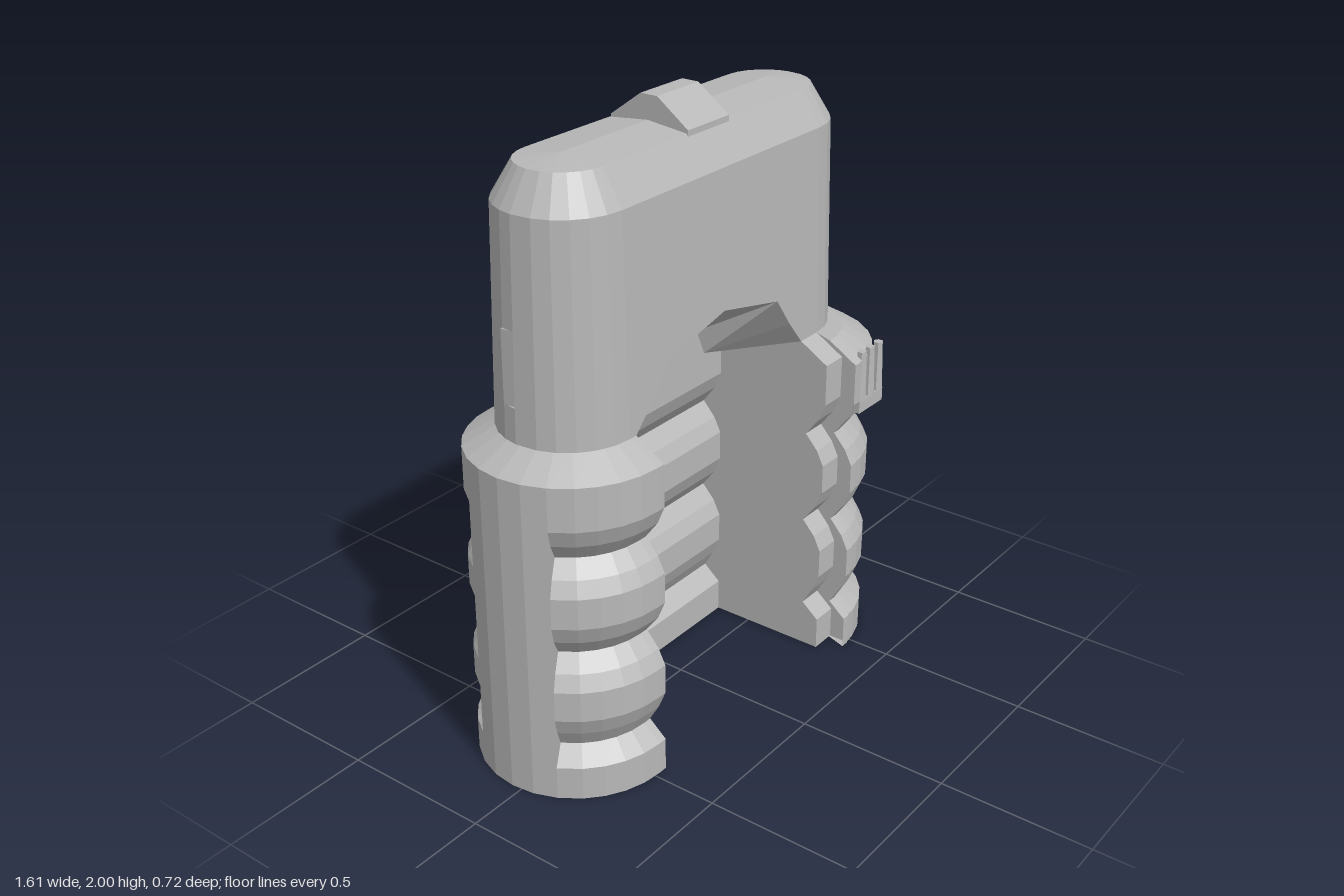
import * as THREE from 'three';

const plastic = new THREE.MeshStandardMaterial({ color: 0xb8b8b8, side: THREE.DoubleSide });
plastic.name = 'grey plastic';

// Flat-shaded geometry from a list of [x, y, z] triangle corners
function facets(points) {
  const g = new THREE.BufferGeometry();
  g.setAttribute('position', new THREE.Float32BufferAttribute(points.flat(), 3));
  g.computeVertexNormals();
  return g;
}

// Skin closed rings of equal length; skip(row, column) leaves openings
function loft(rings, skip = () => false) {
  const out = [];
  const n = rings[0].length;
  for (let r = 0; r < rings.length - 1; r++) {
    for (let i = 0; i < n; i++) {
      if (skip(r, i)) continue;
      const j = (i + 1) % n;
      const [a, b, c, d] = [rings[r][i], rings[r][j], rings[r + 1][j], rings[r + 1][i]];
      out.push(a, b, c, a, c, d);
    }
  }
  return facets(out);
}

// Flat lid over a ring, facing up or down
function lid(ring, up) {
  const s = up ? -1 : 1;
  const shape = new THREE.Shape(ring.map(([x, , z]) => new THREE.Vector2(x, s * z)));
  return new THREE.ShapeGeometry(shape).rotateX(s * Math.PI / 2).translate(0, ring[0][1], 0);
}

// Box seen from the inside
function pocket(w, h, d) {
  const g = new THREE.BoxGeometry(w, h, d).toNonIndexed();
  const p = g.attributes.position;
  const pts = [];
  for (let i = 0; i < p.count; i += 3) {
    for (const k of [i, i + 2, i + 1]) pts.push([p.getX(k), p.getY(k), p.getZ(k)]);
  }
  return facets(pts);
}

export function createModel() {
  const model = new THREE.Group();
  const add = (name, geometry, x = 0, y = 0, z = 0) => {
    const m = new THREE.Mesh(geometry, plastic);
    m.name = name;
    m.position.set(x, y, z);
    model.add(m);
    return m;
  };
  const rad = THREE.MathUtils.degToRad;

  // Grip outline: x, z, normal x, normal z, grooved, shoulder inset
  const outline = [
    [0.39, -0.13, 0, 1, true, false], [0.39, 0.285, 0, 1, true, true],
    [0.48, 0.285, 0, 1, true, true], [0.48, 0.355, 0, 1, true, true],
  ];
  const lobe = (cx, cz, r, from) => {
    // grooves stop in a sharp step before the rounded end
    const bands = [[[0, 12, 24, 36, 48, 62], true], [[62, 76, 90, 104, 118], false], [[118, 132, 144, 156, 168, 180], true]];
    for (const [angles, grooved] of bands) {
      for (const a of angles) {
        const c = Math.cos(rad(from - a)), s = Math.sin(rad(from - a));
        outline.push([cx + r * c, cz + r * s, c, s, grooved, true]);
      }
    }
  };
  lobe(0.45, 0, 0.355, 90);
  lobe(-0.48, -0.035, 0.32, -90);
  outline.push([-0.45, 0.285, 0, 1, true, true], [-0.45, -0.13, 0, 1, true, false]);

  // Ribbed wall: height, groove depth, shoulder inset
  const rows = [[0, 0, 0], [0.11, 0, 0], [0.16, 0.06, 0]];
  for (const y of [0.16, 0.48, 0.8]) {
    if (y > 0.16) rows.push([y, 0.07, 0]);
    rows.push([y + 0.06, 0.025, 0], [y + 0.12, 0, 0]);
    if (y < 0.8) rows.push([y + 0.22, 0, 0], [y + 0.27, 0.025, 0]);
  }
  rows.push([1.06, 0, 0], [1.12, 0, 0.1]);
  const gripRings = rows.map(([y, groove, inset]) => outline.map(([x, z, nx, nz, g, s]) => {
    const d = (g ? groove : 0) + (s ? inset : 0);
    return [x - nx * d, y, z - nz * d];
  }));
  add('gripWall', loft(gripRings));
  add('gripBase', lid(gripRings[0], false));
  add('gripShoulder', lid(gripRings.at(-1), true));

  // Tapered tower with openings for its slots and front arch
  const right = [90, 75, 60, 45, 30, 15, -4, -17, -30, -45, -60, -75, -90];
  const n = right.length;
  const around = [...right, ...right.map(a => -180 - a).reverse()];
  const radius = y => 0.22 - (y - 1.12) / 0.68 * 0.015;
  const towerRows = [1.12, 1.23, 1.35, 1.46, 1.8].map(y => [y, radius(y)]);
  towerRows.push([1.91, 0.14], [1.925, 0]);
  const towerRings = towerRows.map(([y, r]) => around.map((a, i) =>
    [(i < n ? 0.48 : -0.48) + r * Math.cos(rad(a)), y, -0.035 + r * Math.sin(rad(a))]));
  add('tower', loft(towerRings, (r, i) =>
    (i === 2 * n - 1 && r < 4) ||
    (i === n - 1 && r === 2) ||
    ((i === 6 || i === 2 * n - 8) && (r === 1 || r === 2))));
  add('backSlot', pocket(0.96, 0.11, 0.04), 0, 1.405, -0.228);
  for (const side of [-1, 1]) add('endSlot', pocket(0.04, 0.23, 0.047), side * 0.67, 1.345, -0.074);

  // Front panel with the arch cut from its lower edge
  const arch = [[-0.45, 1.12], [-0.37, 1.2], [-0.29, 1.3], [-0.02, 1.36], [0.255, 1.3], [0.325, 1.2], [0.39, 1.12]];
  const frontZ = y => radius(y) - 0.035;
  const panelShape = new THREE.Shape(
    [[-0.48, 1.12], ...arch, [0.48, 1.12], [0.48, 1.8], [-0.48, 1.8]].map(p => new THREE.Vector2(...p)));
  const panel = new THREE.ShapeGeometry(panelShape);
  const pp = panel.attributes.position;
  for (let i = 0; i < pp.count; i++) pp.setZ(i, frontZ(pp.getY(i)));
  panel.computeVertexNormals();
  add('towerFront', panel);

  // Sloping ceiling behind the arch, with a hanging corner on each side
  const [f0, f1, f2, f3, f4, f5, f6] = arch.map(([x, y]) => [x, y, frontZ(y)]);
  const back = (x, y = 1.12, z = -0.13) => [x, y, z];
  const bl = back(-0.29), br = back(0.255), bm = back(-0.02);
  const tl = back(-0.29, 1.05, -0.1), tr = back(0.255, 1.05, -0.1);
  const wl = back(-0.45), wr = back(0.39);
  add('archCeiling', facets([
    f2, bl, bm, f2, bm, f3, f3, bm, br, f3, br, f4,
    f0, wl, tl, f0, tl, f1, f1, tl, f2, f2, tl, bl,
    f6, tr, wr, f6, f5, tr, f5, f4, tr, f4, br, tr,
  ]));

  // Wedge on top of the tower
  const wedge = new THREE.Shape([[-0.11, 1.9], [-0.11, 1.92], [0, 2], [0.06, 2], [0.17, 1.92], [0.17, 1.9]]
    .map(p => new THREE.Vector2(...p)));
  const wedgeGeo = new THREE.ExtrudeGeometry(wedge, { depth: 0.195, bevelEnabled: false });
  add('topWedge', wedgeGeo.rotateY(Math.PI / 2), -0.11, 0, 0);

  // Thumb ridges on the front right lobe
  for (const x of [0.51, 0.56, 0.61]) {
    const ridge = new THREE.CylinderGeometry(0.016, 0.022, 0.17, 6).toNonIndexed();
    ridge.computeVertexNormals();
    add('thumbRidge', ridge, x, 1.0, 0.34);
  }
  add('thumbLedge', new THREE.BoxGeometry(0.14, 0.045, 0.04), 0.56, 0.895, 0.332);

  return model;
}
